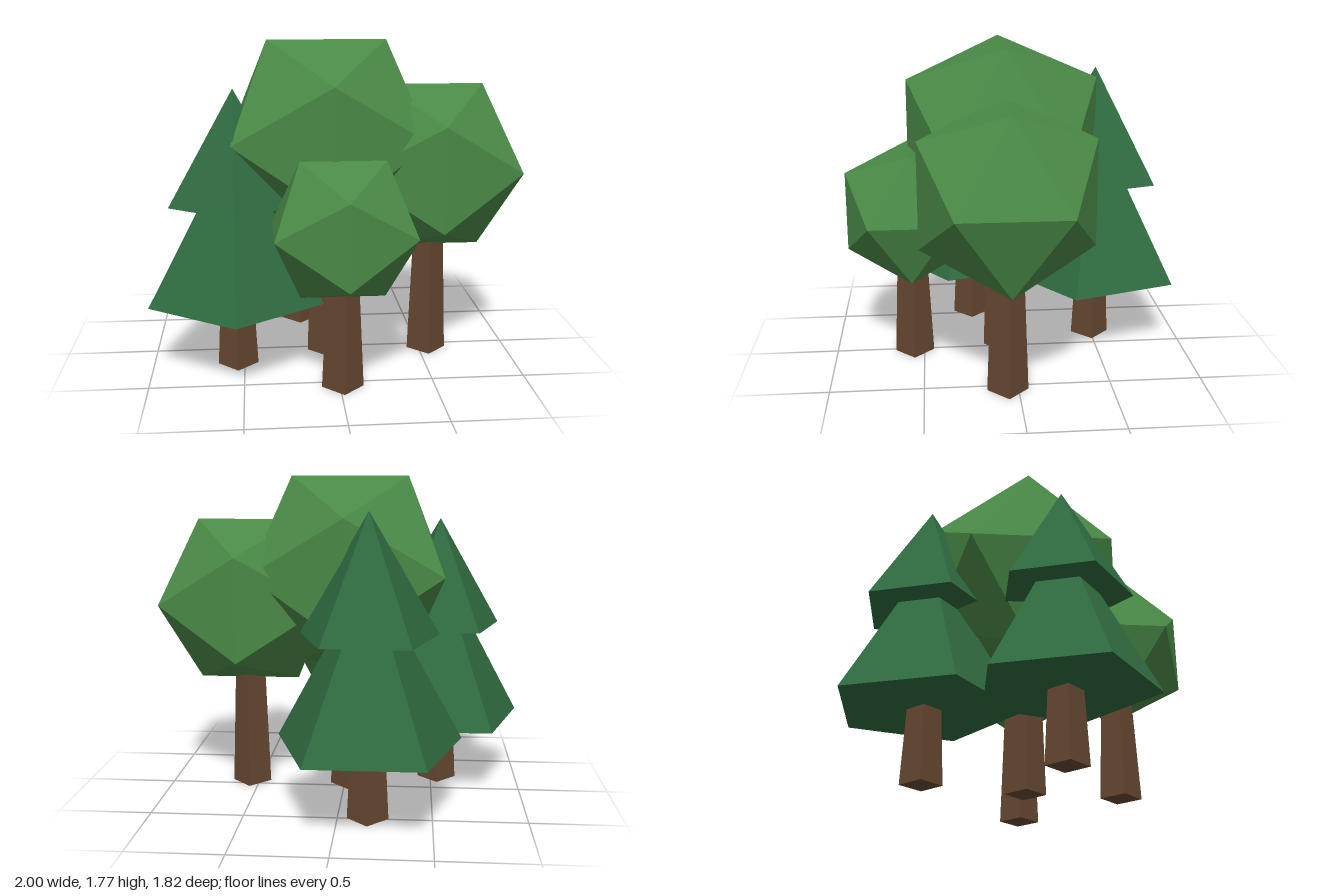
import * as THREE from 'three';

const paint = (name, color) => {
  const m = new THREE.MeshStandardMaterial({ color, flatShading: true });
  m.name = name;
  return m;
};

export function createModel() {
  const bark = paint('bark brown', 0x664831);
  const leaf = paint('leaf green', 0x4a8a46);
  const needle = paint('needle green', 0x2f6b40);

  const grove = new THREE.Group();
  grove.name = 'grove';

  function add(parent, name, geometry, material, y) {
    const mesh = new THREE.Mesh(geometry, material);
    mesh.name = name;
    mesh.position.y = y;
    parent.add(mesh);
  }

  // Each tree stands on a tapered four-sided trunk
  function tree(name, x, z, trunkTop, trunkHeight) {
    const g = new THREE.Group();
    g.name = name;
    g.position.set(x, 0, z);
    add(g, 'trunk', new THREE.CylinderGeometry(trunkTop, 0.11, trunkHeight, 4), bark, trunkHeight / 2);
    grove.add(g);
    return g;
  }

  // Broadleaf tree: one faceted ball as crown
  function broadleaf(name, x, z, y, radius) {
    const g = tree(name, x, z, 0.08, y - radius * 0.5);
    add(g, 'crown', new THREE.IcosahedronGeometry(radius, 0), leaf, y);
  }

  // Pine: two stacked five-sided cones, given as [radius, base, tip]
  function pine(name, x, z, tiers) {
    const g = tree(name, x, z, 0.08, 0.6);
    tiers.forEach(([radius, base, tip], i) => {
      add(g, i ? 'upperTier' : 'lowerTier',
        new THREE.ConeGeometry(radius, tip - base, 5), needle, (base + tip) / 2);
    });
  }

  broadleaf('largeBroadleaf', -0.03, 0.043, 1.249, 0.613);
  broadleaf('mediumBroadleaf', 0.545, 0.057, 1.078, 0.532);
  broadleaf('smallBroadleaf', 0.015, 0.555, 0.85, 0.417);
  pine('leftPine', -0.535, 0.203, [[0.49, 0.387, 1.265], [0.363, 0.922, 1.53]]);
  pine('backPine', -0.16, -0.495, [[0.515, 0.405, 1.32], [0.382, 0.972, 1.61]]);

  return grove;
}
